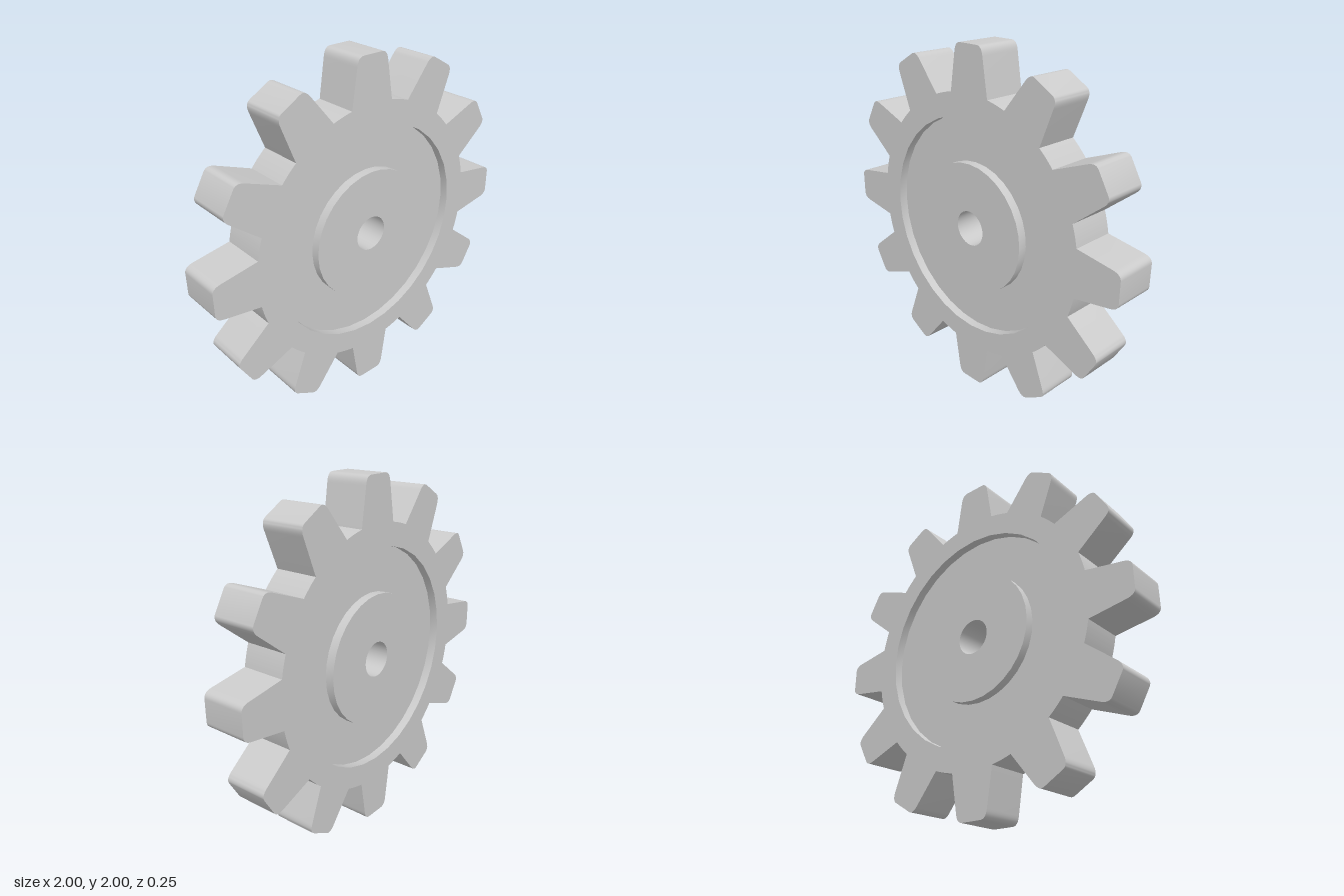
import * as THREE from 'three';
import { mergeGeometries, toCreasedNormals } from 'three/addons/utils/BufferGeometryUtils.js';

const TEETH = 12, HALF = 0.125, WEB = 0.075;      // tooth count, half thickness, half web thickness
const BORE = 0.1, HUB = 0.373, RECESS = 0.625;    // radii
const SEGMENTS = 32;

// Toothed outline: tapered teeth with rounded tips, joined by root arcs
function gearOutline() {
  const shape = new THREE.Shape();
  const pitch = (Math.PI * 2) / TEETH;
  const root = Math.hypot(0.74, 0.135), rootAngle = Math.atan2(0.135, 0.74);
  for (let i = 0; i < TEETH; i++) {
    const a = i * pitch, c = Math.cos(a), s = Math.sin(a);
    const at = (r, side) => [r * c - side * s, r * s + side * c];
    if (i === 0) shape.moveTo(...at(0.74, -0.135));
    shape.lineTo(...at(0.95, -0.102));
    shape.quadraticCurveTo(...at(1, -0.095), ...at(1, -0.06));
    shape.lineTo(...at(1, 0.06));
    shape.quadraticCurveTo(...at(1, 0.095), ...at(0.95, 0.102));
    shape.lineTo(...at(0.74, 0.135));
    shape.absarc(0, 0, root, a + rootAngle, a + pitch - rootAngle, false);
  }
  return shape;
}

// Rim: side wall of the extruded outline plus a ring-shaped face front and back
function rimGeometry() {
  const solid = new THREE.ExtrudeGeometry(gearOutline(), {
    depth: HALF * 2, bevelEnabled: false, curveSegments: 8,
  });
  const { start, count } = solid.groups[1];
  const wall = new THREE.BufferGeometry();
  for (const name of ['position', 'normal', 'uv']) {
    const { array, itemSize } = solid.attributes[name];
    wall.setAttribute(name, new THREE.BufferAttribute(
      array.slice(start * itemSize, (start + count) * itemSize), itemSize));
  }
  wall.translate(0, 0, -HALF);

  const ring = gearOutline();
  const hole = [];
  for (let i = 0; i < SEGMENTS; i++) {
    const a = (-i / SEGMENTS) * Math.PI * 2;
    hole.push(new THREE.Vector2(RECESS * Math.cos(a), RECESS * Math.sin(a)));
  }
  ring.holes.push(new THREE.Path(hole));
  const front = new THREE.ShapeGeometry(ring, 8).toNonIndexed().translate(0, 0, HALF);
  const back = front.clone().rotateY(Math.PI);
  return mergeGeometries([toCreasedNormals(wall, 0.5), front, back]);
}

// Centre: recess walls, web, hub and bore as one turned profile
function centreGeometry() {
  const profile = [
    [RECESS, HALF], [RECESS, WEB], [HUB, WEB], [HUB, HALF], [BORE, HALF],
    [BORE, -HALF], [HUB, -HALF], [HUB, -WEB], [RECESS, -WEB], [RECESS, -HALF],
  ].map(([r, y]) => new THREE.Vector2(r, y));
  const turned = new THREE.LatheGeometry(profile, SEGMENTS).rotateX(Math.PI / 2);
  return toCreasedNormals(turned, 0.5);
}

export function createModel() {
  const material = new THREE.MeshStandardMaterial({ color: 0xcccccc });
  const gear = new THREE.Group();
  gear.name = 'gear';
  const add = (name, geometry) => {
    const mesh = new THREE.Mesh(geometry, material);
    mesh.name = name;
    mesh.position.y = 1;
    gear.add(mesh);
  };
  add('toothedRim', rimGeometry());
  add('webAndHub', centreGeometry());
  return gear;
}
